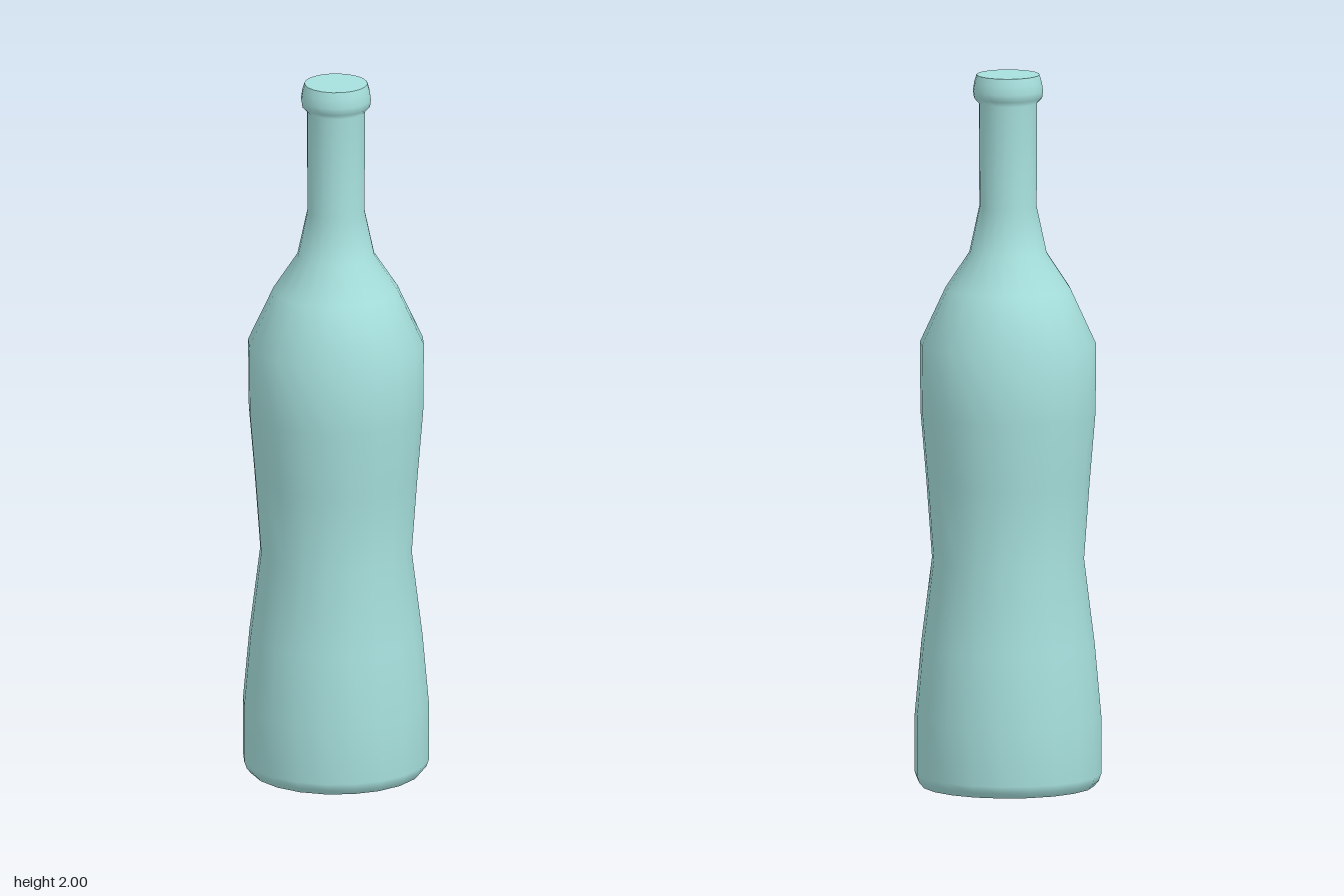
import * as THREE from 'three';

const SIDES = 20;

export function createModel() {
  const group = new THREE.Group();
  group.name = 'bottle';
  const glass = new THREE.MeshStandardMaterial({ color: 0xa6e0dd });

  const add = (name, geometry, y = 0) => {
    const mesh = new THREE.Mesh(geometry, glass);
    mesh.name = name;
    mesh.position.y = y;
    group.add(mesh);
  };

  // Wall profile from foot to lip: [radius, height]
  const profile = [
    [0.24, 0], [0.253, 0.015], [0.26, 0.035], [0.26, 0.2], // foot
    [0.242, 0.4], [0.212, 0.64], [0.228, 0.86],            // waist
    [0.244, 1.05], [0.246, 1.245],                         // chest
    [0.174, 1.4], [0.108, 1.5], [0.08, 1.63],              // shoulder
    [0.081, 1.92], [0.095, 1.935], [0.098, 1.955],         // neck and collar
    [0.094, 1.98], [0.088, 2],                             // lip
  ].map(([r, y]) => new THREE.Vector2(r, y));
  add('bottleWall', new THREE.LatheGeometry(profile, SIDES));

  // Flat discs closing both ends
  add('base', new THREE.CircleGeometry(0.24, SIDES).rotateX(Math.PI / 2));
  add('topCap', new THREE.CircleGeometry(0.088, SIDES).rotateX(-Math.PI / 2), 2);

  return group;
}
